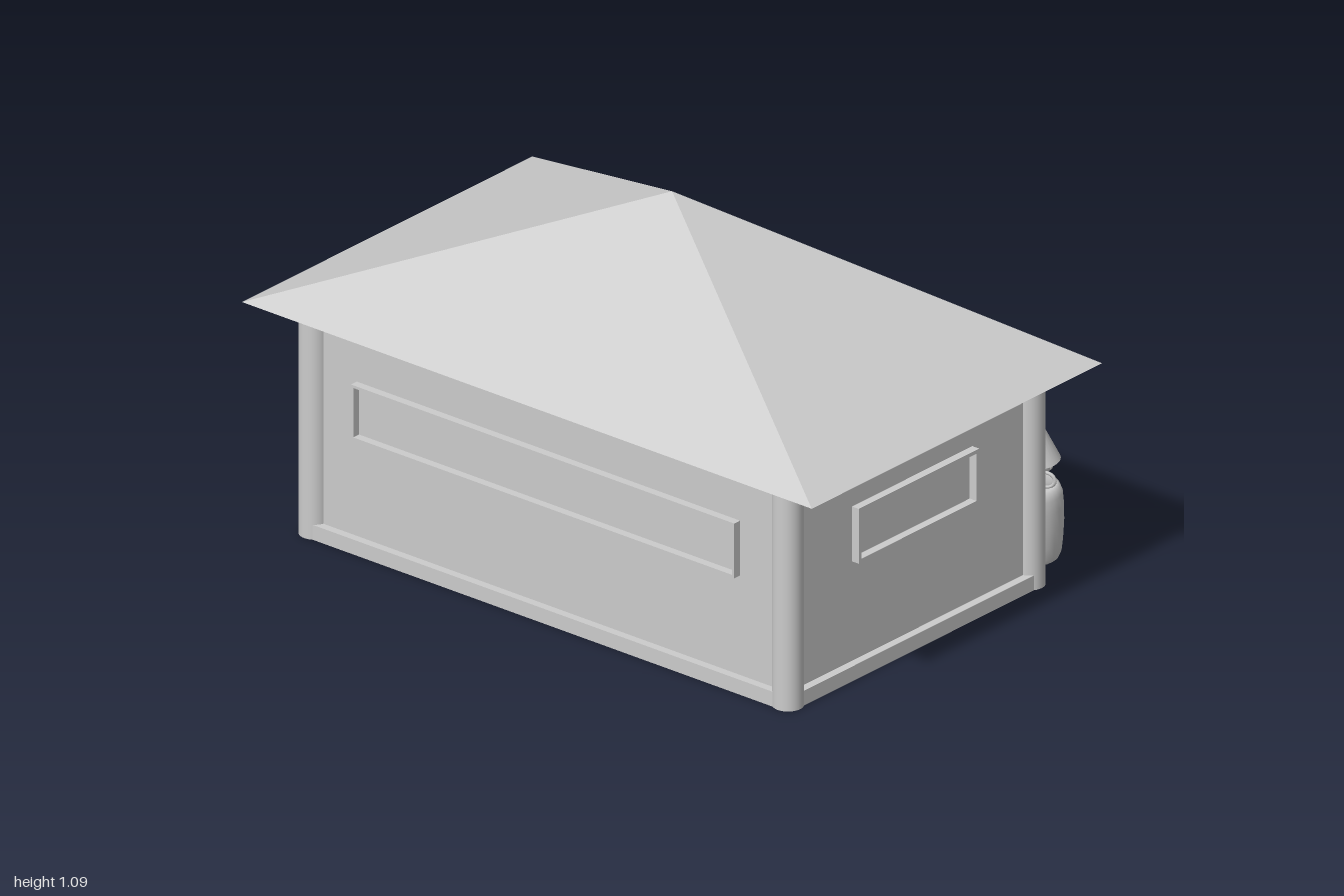
import * as THREE from 'three';

const plaster = new THREE.MeshStandardMaterial({ color: 0xcccccc });
plaster.name = 'plain grey';
const openGrey = new THREE.MeshStandardMaterial({ color: 0xcccccc, side: THREE.DoubleSide });
openGrey.name = 'plain grey, open surfaces';

const CX = -0.07;             // house centre in x
const HX = 0.498, HZ = 0.831; // pillar centres, on the middle of the walls
const WALL = 0.012;           // half thickness of the walls
const EAVES = 0.667;
const FLOOR = 0.03;           // recessed underside

function add(parent, name, geometry, x = 0, y = 0, z = 0, material = plaster) {
  const mesh = new THREE.Mesh(geometry, material);
  mesh.name = name;
  mesh.position.set(x, y, z);
  parent.add(mesh);
  return mesh;
}

const box = (w, h, d) => new THREE.BoxGeometry(w, h, d);

// Four-sided hip roof with a closed underside
function roofGeometry(hx, hz, h) {
  const c = [[-hx, 0, hz], [hx, 0, hz], [hx, 0, -hz], [-hx, 0, -hz]];
  const p = [];
  for (let i = 0; i < 4; i++) p.push(...c[i], ...c[(i + 1) % 4], 0, h, 0);
  p.push(...c[0], ...c[2], ...c[1], ...c[0], ...c[3], ...c[2]);
  const g = new THREE.BufferGeometry();
  g.setAttribute('position', new THREE.Float32BufferAttribute(p, 3));
  g.computeVertexNormals();
  return g;
}

// Group on a wall: local x runs along the wall, local z points outward
function wallGroup(parent, name, angle, distance) {
  const g = new THREE.Group();
  g.name = name;
  g.rotation.y = angle;
  g.position.set(Math.sin(angle) * distance, 0, Math.cos(angle) * distance);
  parent.add(g);
  return g;
}

// Raised frame around an opening, with the wall as its pane
function addFrame(wall, name, x, w, y0, y1, rim, depth) {
  const rect = (T, r) => {
    const s = new T(), hw = w / 2 - r;
    s.moveTo(-hw, y0 + r); s.lineTo(hw, y0 + r); s.lineTo(hw, y1 - r); s.lineTo(-hw, y1 - r); s.closePath();
    return s;
  };
  const shape = rect(THREE.Shape, 0);
  shape.holes.push(rect(THREE.Path, rim));
  add(wall, name, new THREE.ExtrudeGeometry(shape, { depth, bevelEnabled: false }), x);
}

function createHouse() {
  const house = new THREE.Group();
  house.name = 'house';
  house.position.x = CX;

  const wx = HX + WALL, wz = HZ + WALL;
  add(house, 'walls', box(wx * 2, EAVES - FLOOR, wz * 2), 0, (EAVES + FLOOR) / 2, 0);
  add(house, 'roof', roofGeometry(0.599, 1, 0.418), 0, EAVES, 0);

  // Corner pillars and the plinth strips between them
  const pillar = new THREE.CylinderGeometry(0.043, 0.043, EAVES, 32);
  for (const s of [-1, 1]) {
    for (const t of [-1, 1]) add(house, 'cornerPillar', pillar, s * HX, EAVES / 2, t * HZ);
    add(house, 'sidePlinth', box(0.072, 0.044, HZ * 2), s * HX, 0.022, 0);
    add(house, 'endPlinth', box(HX * 2, 0.044, 0.072), 0, 0.022, s * HZ);
  }

  // Wide windows on the two ends and the left side
  addFrame(wallGroup(house, 'frontWindow', 0, wz), 'windowFrame', 0, 0.497, 0.338, 0.5, 0.011, 0.024);
  addFrame(wallGroup(house, 'backWindow', Math.PI, wz), 'windowFrame', 0, 0.497, 0.338, 0.5, 0.011, 0.024);
  addFrame(wallGroup(house, 'leftLongWindow', -Math.PI / 2, wx), 'windowFrame', 0, 1.345, 0.338, 0.5, 0.008, 0.024);

  // Entrance side with two thin-framed windows and a door
  const entrance = wallGroup(house, 'entranceSide', Math.PI / 2, wx);
  for (const s of [-1, 1]) addFrame(entrance, 'squareWindowFrame', s * 0.378, 0.244, 0.25, 0.5, 0.003, 0.024);
  addFrame(entrance, 'doorFrame', 0.001, 0.163, 0.043, 0.376, 0.003, 0.012);
  add(entrance, 'doorKnob', new THREE.SphereGeometry(0.013, 16, 12), -0.06, 0.205, 0.004);
  return house;
}

// Garden figure looking towards +x
function createFigure() {
  const figure = new THREE.Group();
  figure.name = 'gardenFigure';
  figure.position.set(0.568, 0, 0.702);

  // Barrel body, open underneath
  const profile = [[0.088, 0], [0.094, 0.015], [0.098, 0.05], [0.101, 0.1], [0.1, 0.15],
    [0.097, 0.185], [0.09, 0.203], [0.08, 0.21], [0, 0.21]].map(([r, y]) => new THREE.Vector2(r, y));
  add(figure, 'body', new THREE.LatheGeometry(profile, 32), 0, 0, 0, openGrey);
  add(figure, 'hat', new THREE.ConeGeometry(0.083, 0.165, 32), 0.011, 0.3625, 0.002);

  // Head with muzzle, nose, eyes and ears
  const ball = new THREE.SphereGeometry(1, 20, 14);
  const blob = (name, x, y, z, sx, sy, sz) => add(figure, name, ball, x, y, z).scale.set(sx, sy, sz);
  blob('head', 0.002, 0.262, 0, 0.06, 0.054, 0.064);
  blob('muzzle', 0.036, 0.228, 0, 0.034, 0.024, 0.04);
  blob('nose', 0.066, 0.246, 0, 0.008, 0.01, 0.012);
  for (const s of [-1, 1]) {
    blob('eye', 0.05, 0.257, s * 0.027, 0.015, 0.014, 0.014);
    const socket = add(figure, 'eyeSocket', new THREE.TorusGeometry(0.017, 0.005, 8, 20), 0.055, 0.257, s * 0.027);
    socket.rotation.y = Math.PI / 2 - s * 0.25;

    // Wide ears swept back behind the cheeks
    const ear = new THREE.Group();
    ear.name = 'ear';
    ear.position.set(-0.018, 0.25, s * 0.083);
    ear.rotation.y = Math.PI / 2 + s * 0.35;
    figure.add(ear);
    add(ear, 'earRim', new THREE.TorusGeometry(0.022, 0.005, 8, 20)).scale.set(1.15, 0.95, 1);
    add(ear, 'earBowl', ball).scale.set(0.025, 0.02, 0.004);
  }
  return figure;
}

export function createModel() {
  const model = new THREE.Group();
  model.name = 'cottageWithGardenFigure';
  model.add(createHouse(), createFigure());
  return model;
}
